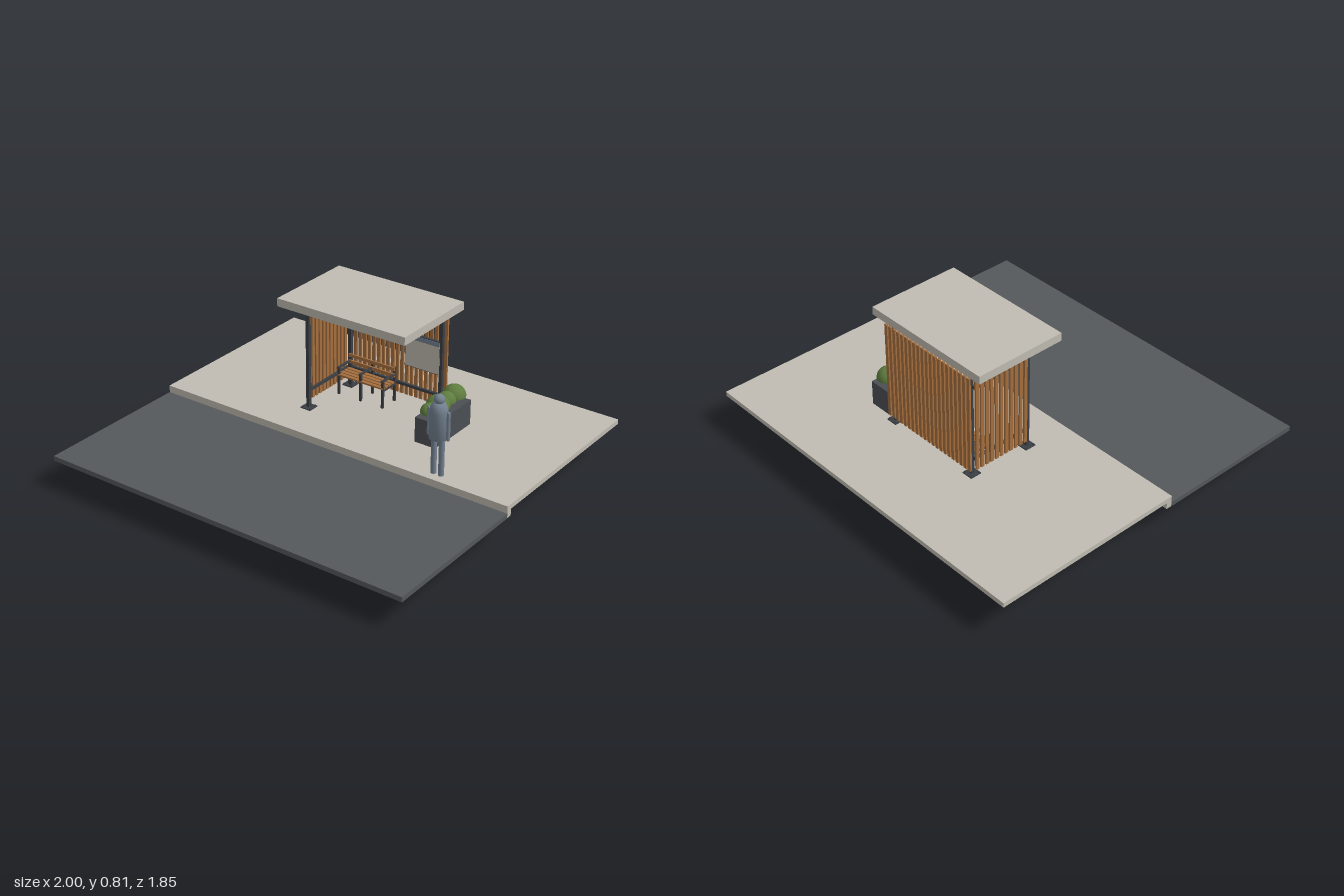
import * as THREE from 'three';

const mat = (name, color, side = THREE.FrontSide) => {
  const m = new THREE.MeshStandardMaterial({ color, side });
  m.name = name;
  return m;
};

export function createModel() {
  const root = new THREE.Group();
  root.name = 'busShelter';
  const concrete = mat('concrete', 0xc0bcb2);
  const asphalt = mat('asphalt', 0x54585b);
  const steel = mat('darkSteel', 0x3b3f44);
  const wood = mat('wood', 0xa56f3f);
  const planterGrey = mat('planterGrey', 0x4b4f54);
  const leaf = mat('leafGreen', 0x5f7d3f, THREE.DoubleSide);
  const figureBlue = mat('figureBlueGrey', 0x738190);

  const group = (name) => {
    const g = new THREE.Group();
    g.name = name;
    root.add(g);
    return g;
  };
  const add = (parent, name, geo, m, x = 0, y = 0, z = 0) => {
    const mesh = new THREE.Mesh(geo, m);
    mesh.name = name;
    mesh.position.set(x, y, z);
    parent.add(mesh);
    return mesh;
  };
  // Box given by its extents
  const box = (parent, name, m, x0, x1, y0, y1, z0, z1) =>
    add(parent, name, new THREE.BoxGeometry(x1 - x0, y1 - y0, z1 - z0), m,
      (x0 + x1) / 2, (y0 + y1) / 2, (z0 + z1) / 2);

  // Ground
  const ground = group('ground');
  box(ground, 'pavement', concrete, -1, 1, 0.175, 0.2, -0.925, 0.07);
  box(ground, 'kerb', concrete, -1, 1, 0.14, 0.2, 0.07, 0.1);
  box(ground, 'road', asphalt, -1, 1, 0.138, 0.163, 0.1, 0.925);

  // Posts with footings, base plates and bolts
  const posts = group('posts');
  for (const [x, z] of [[-0.29, -0.132], [-0.272, -0.456], [0.27, -0.456]]) {
    box(posts, 'footing', concrete, x - 0.093, x + 0.093, 0, 0.175, z - 0.093, z + 0.093);
    box(posts, 'post', steel, x - 0.009, x + 0.009, 0.2, 0.773, z - 0.009, z + 0.009);
    box(posts, 'basePlate', steel, x - 0.03, x + 0.03, 0.2, 0.205, z - 0.03, z + 0.03);
    for (const sx of [-1, 1]) for (const sz of [-1, 1])
      add(posts, 'bolt', new THREE.CylinderGeometry(0.004, 0.004, 0.006, 8), steel,
        x + sx * 0.022, 0.208, z + sz * 0.022);
  }

  // Roof slab
  box(root, 'roof', concrete, -0.37, 0.365, 0.773, 0.815, -0.49, 0.003);

  // Slatted back and side screens on steel rails
  const back = group('backScreen');
  const side = group('sideScreen');
  for (const y of [0.295, 0.696]) {
    box(back, 'rail', steel, -0.272, 0.27, y - 0.007, y + 0.007, -0.474, -0.46);
    box(side, 'rail', steel, -0.294, -0.282, y - 0.007, y + 0.007, -0.456, -0.132);
  }
  for (let i = 0; i < 21; i++) {
    const x = -0.285 + i * 0.0283;
    box(back, 'slat', wood, x - 0.009, x + 0.009, 0.235, 0.755, -0.484, -0.474);
  }
  for (let i = 0; i < 11; i++) {
    const z = -0.15 - i * 0.0295;
    box(side, 'slat', wood, -0.304, -0.294, 0.235, 0.755, z - 0.009, z + 0.009);
  }

  // Information panel
  const panel = group('informationPanel');
  box(panel, 'panelFrame', steel, 0.062, 0.268, 0.412, 0.588, -0.463, -0.448);
  box(panel, 'panelSheet', concrete, 0.066, 0.264, 0.416, 0.562, -0.448, -0.445);
  box(panel, 'panelHeader', figureBlue, 0.066, 0.264, 0.562, 0.584, -0.448, -0.445);

  // Bench: three frames carrying seat and back slats
  const bench = group('bench');
  for (const x of [-0.258, -0.125, 0.008]) {
    const x0 = x - 0.006, x1 = x + 0.006;
    box(bench, 'frontLeg', steel, x0, x1, 0.2, 0.302, -0.345, -0.333);
    box(bench, 'backLeg', steel, x0, x1, 0.2, 0.385, -0.447, -0.436);
    box(bench, 'seatBearer', steel, x0, x1, 0.29, 0.302, -0.44, -0.333);
    box(bench, 'armrestSupport', steel, x0, x1, 0.302, 0.345, -0.345, -0.335);
    box(bench, 'armrest', steel, x0, x1, 0.343, 0.351, -0.447, -0.329);
  }
  for (let i = 0; i < 4; i++) {
    const z = -0.343 - i * 0.026;
    box(bench, 'seatSlat', wood, -0.264, 0.014, 0.302, 0.311, z - 0.01, z + 0.01);
  }
  for (const y of [0.343, 0.378])
    box(bench, 'backSlat', wood, -0.264, 0.014, y - 0.009, y + 0.009, -0.436, -0.428);

  // Planter with four domed shrubs
  const planter = group('planter');
  box(planter, 'planterBox', planterGrey, 0.328, 0.445, 0.2, 0.332, -0.456, -0.15);
  for (const [z, r] of [[-0.187, 0.046], [-0.257, 0.06], [-0.33, 0.048], [-0.4, 0.058]]) {
    add(planter, 'shrub', new THREE.SphereGeometry(r, 20, 8, 0, Math.PI * 2, 0, Math.PI / 2),
      leaf, 0.385, 0.361, z);
  }

  // Standing figure
  const figure = group('standingFigure');
  figure.position.set(0.585, 0.2, 0.042);
  const torso = [[0, 0.19], [0.044, 0.19], [0.044, 0.325], [0.04, 0.348],
    [0.031, 0.365], [0.018, 0.375], [0, 0.378]].map(([r, y]) => new THREE.Vector2(r, y));
  add(figure, 'torso', new THREE.LatheGeometry(torso, 24), figureBlue);
  add(figure, 'head', new THREE.SphereGeometry(0.026, 20, 14), figureBlue, 0, 0.386, 0);
  for (const s of [-1, 1]) {
    add(figure, 'leg', new THREE.CylinderGeometry(0.014, 0.014, 0.195, 14), figureBlue, s * 0.021, 0.0975, 0);
    add(figure, 'arm', new THREE.CapsuleGeometry(0.009, 0.132, 5, 12), figureBlue, s * 0.053, 0.262, 0);
  }
  return root;
}
